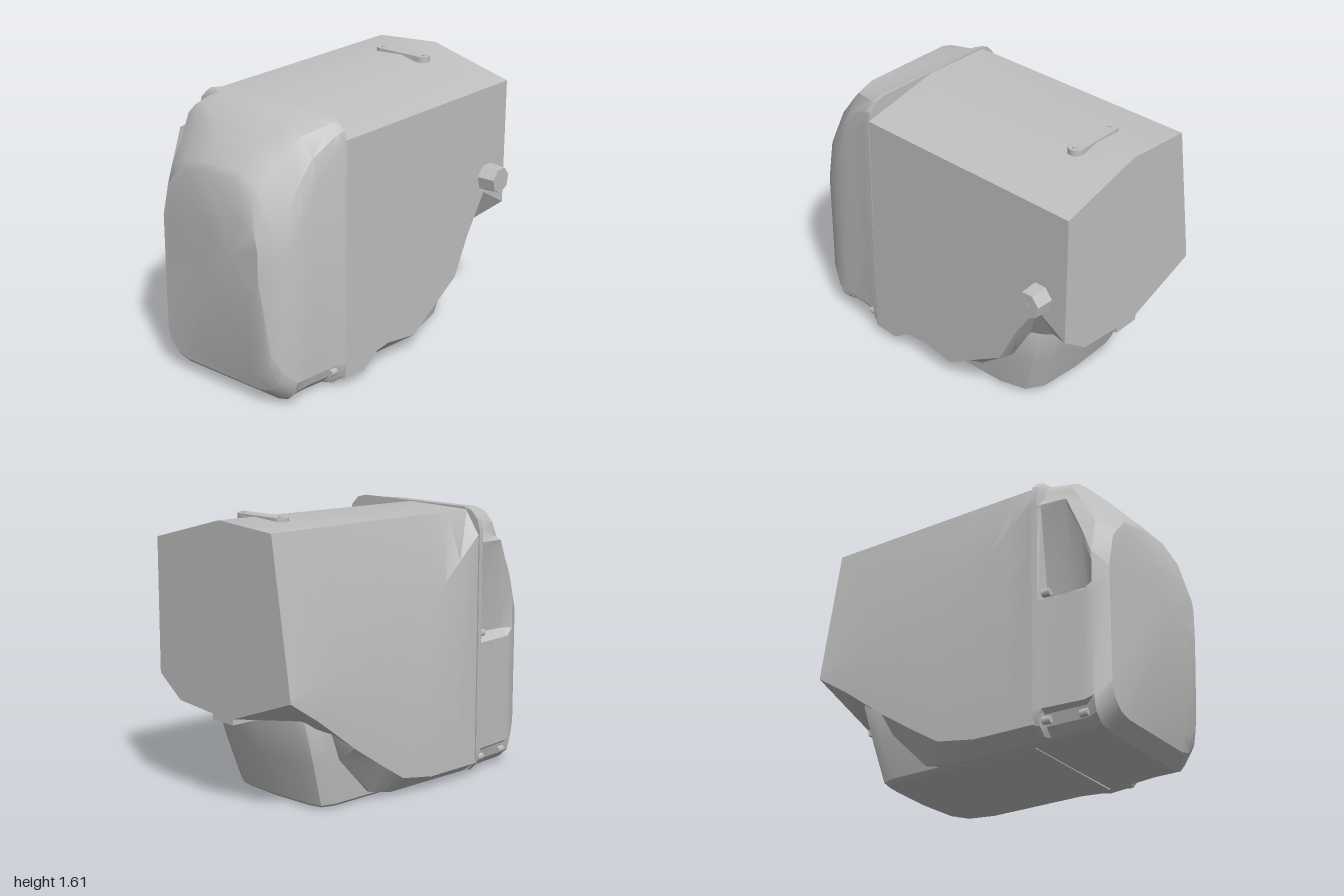
import * as THREE from 'three';
import { toCreasedNormals } from 'three/addons/utils/BufferGeometryUtils.js';

const grey = new THREE.MeshStandardMaterial({ color: 0xc0c0c0 });
grey.name = 'plain grey';

// Skin a list of equal-length closed rings of [x, y, z] and close both ends.
function loft(rings, crease = 0.5) {
  const n = rings[0].length, pos = [], idx = [];
  rings.forEach((r) => r.forEach((p) => pos.push(...p)));
  for (let i = 0; i < rings.length - 1; i++) {
    for (let j = 0; j < n; j++) {
      const a = i * n + j, d = i * n + (j + 1) % n;
      idx.push(a, a + n, d + n, a, d + n, d);
    }
  }
  [0, rings.length - 1].forEach((i) => {
    const centre = pos.length / 3;
    for (let k = 0; k < 3; k++) pos.push(rings[i].reduce((s, p) => s + p[k], 0) / n);
    for (let j = 0; j < n; j++) {
      const a = i * n + j, b = i * n + (j + 1) % n;
      if (i === 0) idx.push(centre, a, b);
      else idx.push(centre, b, a);
    }
  });
  const g = new THREE.BufferGeometry();
  g.setAttribute('position', new THREE.Float32BufferAttribute(pos, 3));
  g.setIndex(idx);
  return toCreasedNormals(g, crease);
}

// Rounded section at x: r rounds the bottom, front and back are [rz, ry] of the top corners,
// shear pushes the back edge towards +x, pocket (0 to 1) sinks the screw pockets.
function capRing({ x, y: [y0, y1], z: [zb, zf], r, front, back, shear = 0, pocket = 0 }) {
  const out = [];
  const put = (y, z) => out.push([x + shear * (0.28 - z), y, z]);
  const corners = [
    [zf - front[0], y1 - front[1], ...front, 0], [zb + back[0], y1 - back[1], ...back, 0.05],
    [zb + r, y0 + r, r, r, 0.03], [zf - r, y0 + r, r, r, -0.05],
  ];
  corners.forEach(([cz, cy, rz, ry, inset], c) => {
    if (c === 2) {
      const fin = Math.min(1.39, y1 - back[1] - 0.02);
      put(fin, zb);
      put(fin - 0.04, zb + 0.01 * pocket);
      put(0.84, zb + 0.07 * pocket);
      put(0.8, zb);
      put(Math.max(0.16, y0 + r + 0.02), zb);
    }
    for (let s = 0; s <= 3; s++) {
      const a = (c + s / 3) * Math.PI / 2;
      put(cy + ry * Math.sin(a), cz + rz * Math.cos(a) + inset * pocket);
    }
  });
  put(Math.max(0.165, y0 + r + 0.02), zf);
  return out;
}

export function createModel() {
  const model = new THREE.Group();
  const add = (name, geometry, x = 0, y = 0, z = 0) => {
    const mesh = new THREE.Mesh(geometry, grey);
    mesh.name = name;
    mesh.position.set(x, y, z);
    model.add(mesh);
    return mesh;
  };

  // Main housing: x, front lower y, front inner y, back ridge y, back lower y, underside y
  const stations = [
    [-0.48, 0.06, 0.02, 1.44, 0.08, 0.015], [-0.32, 0.05, 0.02, 1.3, 0.08, 0.015],
    [-0.2, 0.13, 0.03, 1.19, 0.08, 0.015], [-0.1, 0.14, 0.04, 1.1, 0.08, 0.015],
    [0.14, 0.1, 0.08, 1.02, 0.12, 0.015], [0.3, 0.2, 0.12, 0.96, 0.22, 0.05],
    [0.53, 0.34, 0.3, 0.88, 0.37, 0.28], [0.65, 0.58, 0.5, 0.84, 0.46, 0.5],
    [0.8, 0.81, 0.56, 0.79, 0.57, 0.54], [1, 0.69, 0.56, 0.72, 0.7, 0.535],
  ];
  const mix = THREE.MathUtils.lerp;
  add('mainHousing', loft(stations.map(([x, yF, yI, yR, yB, yU]) => {
    const t = (x + 0.48) / 1.48, under = THREE.MathUtils.clamp((x - 0.53) / 0.47, 0, 1);
    return [
      [x, mix(1.475, 1.465, t), mix(0.47, 0.495, t)],
      [x, mix(1.585, 1.605, t), -0.04],
      [x, 1.575, mix(-0.48, -0.46, t)],
      [x, yR, mix(-0.575, -0.598, t)],
      [x, yB, mix(-0.575, -0.6, t)],
      [x, yU, mix(-0.48, -0.14, under)],
      [x, yU, mix(-0.05, 0.04, under)],
      [x, yI, mix(0.38, 0.32, under)],
      [x, yF, mix(0.475, 0.495, t)],
    ];
  }), 0.4));

  // End cap with sloping upper corners and sunken screw pockets
  add('endCap', loft([
    { x: -1, y: [0.68, 1.08], z: [-0.1, 0.3], r: 0.1, front: [0.1, 0.12], back: [0.1, 0.12], shear: 0.06 },
    { x: -0.955, y: [0.18, 1.3], z: [-0.43, 0.35], r: 0.15, front: [0.25, 0.4], back: [0.3, 0.35], shear: 0.05 },
    { x: -0.925, y: [0.09, 1.34], z: [-0.49, 0.39], r: 0.16, front: [0.28, 0.45], back: [0.35, 0.4], shear: 0.015 },
    { x: -0.84, y: [0.02, 1.43], z: [-0.54, 0.43], r: 0.14, front: [0.3, 0.45], back: [0.4, 0.4], shear: 0.01 },
    { x: -0.78, y: [0.01, 1.49], z: [-0.55, 0.44], r: 0.13, front: [0.28, 0.38], back: [0.3, 0.3], pocket: 0.8 },
    { x: -0.69, y: [0.01, 1.565], z: [-0.56, 0.45], r: 0.13, front: [0.22, 0.28], back: [0.15, 0.16], pocket: 1 },
    { x: -0.53, y: [0.005, 1.58], z: [-0.575, 0.465], r: 0.13, front: [0.14, 0.14], back: [0.13, 0.13], pocket: 1 },
    { x: -0.51, y: [0.005, 1.585], z: [-0.58, 0.47], r: 0.13, front: [0.13, 0.13], back: [0.13, 0.13] },
    { x: -0.475, y: [0.01, 1.59], z: [-0.585, 0.475], r: 0.13, front: [0.13, 0.13], back: [0.13, 0.13] },
  ].map(capRing)));

  // Lower housing: bowed plan with cut corners, leaning outwards upwards
  const lowerRing = ([y, x1, zb, zf, c]) => [
    [x1 - 0.01, y, zb + c * 1.5], [x1, y, -0.05], [x1 - 0.02, y, zf - c * 2],
    [x1 - 0.08, y, zf - c * 0.6], [x1 - 0.24, y, zf],
    [-0.4, y, zf], [-0.4, y, zb], [x1 - 0.11, y, zb], [x1 - 0.03, y, zb + c * 0.4],
  ];
  add('lowerHousing', loft([
    [0.01, 0.63, -0.43, 0.33, 0.07], [0.03, 0.655, -0.455, 0.35, 0.07],
    [0.28, 0.73, -0.475, 0.385, 0.07], [0.52, 0.8, -0.485, 0.4, 0.07], [0.56, 0.8, -0.47, 0.39, 0.07],
  ].map(lowerRing)));

  // Latch tab under the open end
  add('latchTab', new THREE.BoxGeometry(0.2, 0.05, 0.17), 0.9, 0.525, -0.05);

  // Seven-sided knob with its screw
  const knob = add('knob', new THREE.CylinderGeometry(0.08, 0.087, 0.13, 7).toNonIndexed(), 0.82, 0.905, 0.535);
  knob.geometry.computeVertexNormals();
  knob.rotation.x = Math.PI / 2;
  const knobScrew = add('knobScrew', new THREE.CylinderGeometry(0.013, 0.013, 0.006, 8), 0.82, 0.905, 0.6);
  knobScrew.rotation.x = Math.PI / 2;

  // Rounded top plate and its two screws
  const plate = new THREE.Shape();
  plate.absarc(0, 0.145, 0.045, 0, Math.PI);
  plate.absarc(0, -0.145, 0.045, Math.PI, Math.PI * 2);
  const plateMesh = add('topPlate', new THREE.ExtrudeGeometry(plate, { depth: 0.035, bevelEnabled: false, curveSegments: 6 }), 0.705, 1.575, -0.06);
  plateMesh.rotation.x = -Math.PI / 2;
  [-0.21, 0.095].forEach((z) => add('plateScrew', new THREE.CylinderGeometry(0.015, 0.015, 0.006, 8), 0.705, 1.612, z));

  // Cap screws
  [[-0.545, 0.85, -0.54], [-0.545, 0.1, -0.545], [-0.76, 0.1, -0.52], [-0.54, 0.11, 0.43]].forEach(([x, y, z]) => {
    const screw = add('capScrew', new THREE.CylinderGeometry(0.022, 0.022, 0.05, 6), x, y, z);
    screw.rotation.z = Math.PI / 2;
  });
  return model;
}
